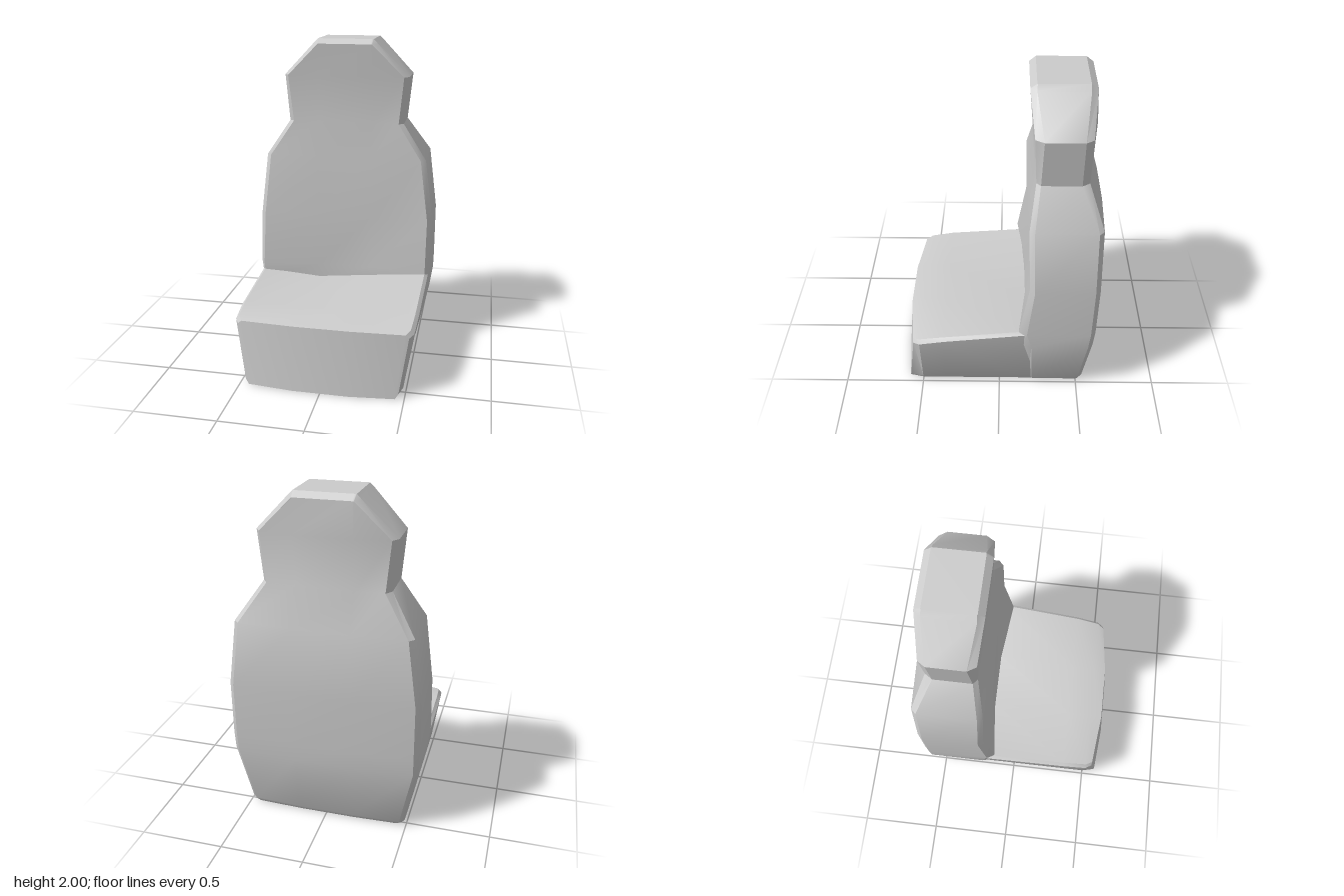
import * as THREE from 'three';
import { toCreasedNormals } from 'three/addons/utils/BufferGeometryUtils.js';

const material = new THREE.MeshStandardMaterial({ color: 0xcccccc });

// Skin a row of equal-length rings and close both ends with strips across the ring
function loft(name, rings) {
  const n = rings[0].length;
  const index = [];
  for (let i = 0; i < rings.length - 1; i++) {
    for (let j = 0; j < n; j++) {
      const a = i * n + j, b = i * n + (j + 1) % n;
      index.push(a, b, b + n, a, b + n, a + n);
    }
  }
  const last = (rings.length - 1) * n;
  for (let j = 0; j < n / 2 - 1; j++) {
    const [a, b, c, d] = [j, j + 1, n - 2 - j, n - 1 - j];
    index.push(a, c, b, a, d, c);
    index.push(last + a, last + b, last + c, last + a, last + c, last + d);
  }
  const geometry = new THREE.BufferGeometry();
  geometry.setAttribute('position', new THREE.Float32BufferAttribute(rings.flat(2), 3));
  geometry.setIndex(index);
  const mesh = new THREE.Mesh(toCreasedNormals(geometry, 0.5), material);
  mesh.name = name;
  return mesh;
}

// Horizontal slice of the backrest: half width, chamfer, then depths of
// front middle, front edge, front side, back side, back edge, back middle
function backSlice([y, w, c, front, frontEdge, frontSide, backSide, backEdge, back]) {
  const e = w - c, m = Math.min(0.17, e * 0.95);
  return [
    [-w, y, frontSide], [-e, y, frontEdge], [-m, y, front],
    [m, y, front], [e, y, frontEdge], [w, y, frontSide],
    [w, y, backSide], [e, y, backEdge], [m, y, back],
    [-m, y, back], [-e, y, backEdge], [-w, y, backSide],
  ];
}

// Upright slice of the cushion: top and bottom half widths, four top heights,
// edge drop, and a depth rule that bows the slice in plan
function cushionSlice({ top, bottom, heights, drop, depth }) {
  const [h0, h1, h2, h3] = heights, t = top - 0.02, b = bottom - 0.02;
  return [
    [-top, h0 - drop], [-t, h0], [-0.17, h1],
    [0.17, h2], [t, h3], [top, h3 - drop],
    [bottom, 0.03], [b, 0], [0.17, 0],
    [-0.17, 0], [-b, 0], [-bottom, 0.03],
  ].map(([x, y]) => [x, y, depth(x, y)]);
}

export function createModel() {
  const group = new THREE.Group();
  group.name = 'seat';

  // Backrest with shoulders, neck and headrest in one continuous shell
  group.add(loft('backrest', [
    [0.00, 0.47, 0.03, -0.20, -0.20, -0.22, -0.50, -0.52, -0.53],
    [0.03, 0.49, 0.03, -0.19, -0.19, -0.21, -0.51, -0.54, -0.55],
    [0.40, 0.57, 0.03, -0.165, -0.14, -0.20, -0.55, -0.58, -0.60],
    [0.51, 0.572, 0.03, -0.165, -0.12, -0.17, -0.56, -0.59, -0.605],
    [0.85, 0.572, 0.03, -0.18, -0.18, -0.21, -0.565, -0.595, -0.615],
    [1.25, 0.52, 0.03, -0.17, -0.17, -0.20, -0.56, -0.59, -0.605],
    [1.475, 0.37, 0.03, -0.20, -0.205, -0.23, -0.46, -0.505, -0.525],
    [1.77, 0.40, 0.03, -0.18, -0.19, -0.24, -0.46, -0.505, -0.54],
    [1.97, 0.205, 0.035, -0.163, -0.163, -0.20, -0.49, -0.53, -0.53],
    [2.00, 0.175, 0.003, -0.20, -0.20, -0.202, -0.488, -0.49, -0.49],
  ].map(backSlice)));

  // Cushion, from the bowed front face to the rear hidden in the backrest
  const frontDepth = (x, y) =>
    0.615 - 0.09 * y - 0.35 * Math.max(0, Math.abs(x) - 0.17) ** 2;
  group.add(loft('cushion', [
    { top: 0.515, bottom: 0.465, heights: [0.395, 0.405, 0.405, 0.395], drop: 0.02, depth: frontDepth },
    { top: 0.54, bottom: 0.485, heights: [0.41, 0.42, 0.42, 0.41], drop: 0.025, depth: () => 0.5 },
    { top: 0.55, bottom: 0.485, heights: [0.43, 0.425, 0.43, 0.44], drop: 0.02, depth: () => 0.35 },
    { top: 0.562, bottom: 0.485, heights: [0.46, 0.42, 0.455, 0.51], drop: 0.015, depth: () => -0.16 },
    { top: 0.562, bottom: 0.485, heights: [0.46, 0.42, 0.455, 0.49], drop: 0.015, depth: () => -0.26 },
    { top: 0.55, bottom: 0.48, heights: [0.4, 0.4, 0.4, 0.4], drop: 0.015, depth: () => -0.5 },
  ].map(cushionSlice)));

  return group;
}
